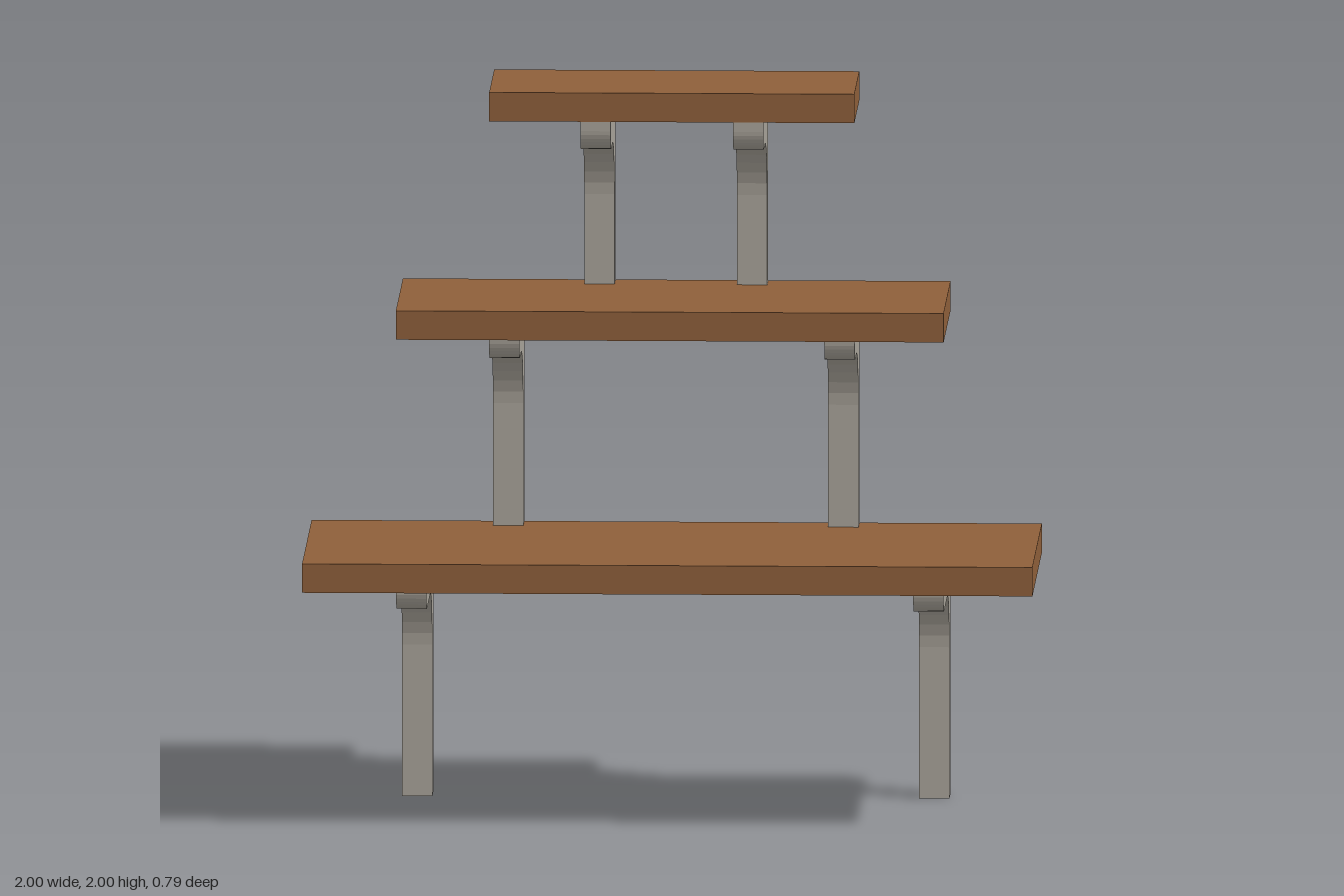
import * as THREE from 'three';

const BACK = -0.395;      // shared back plane of shelves and legs
const THICK = 0.08;       // shelf thickness
const LEG = 0.083;        // leg width and depth

// Upright with a forward arm: concave fillet at the knee, rounded tip
function bracketGeometry(bottom, top, tip) {
  const knee = 0.168, nose = 0.057;
  const front = BACK + LEG;
  const under = top - 0.083;
  const s = new THREE.Shape();
  s.moveTo(BACK, bottom);
  s.lineTo(front, bottom);
  s.lineTo(front, under - knee);
  s.absarc(front + knee, under - knee, knee, Math.PI, Math.PI / 2, true);
  s.lineTo(tip - nose, under);
  s.absarc(tip - nose, under + nose, nose, -Math.PI / 2, 0, false);
  s.lineTo(tip, top);
  s.lineTo(BACK, top);
  s.closePath();
  const g = new THREE.ExtrudeGeometry(s, { depth: LEG, bevelEnabled: false, curveSegments: 4 });
  g.translate(0, 0, -LEG / 2);
  g.rotateY(-Math.PI / 2);
  return g;
}

export function createModel() {
  const group = new THREE.Group();
  const wood = new THREE.MeshStandardMaterial({ color: 0x8e5f3a, flatShading: true });
  const metal = new THREE.MeshStandardMaterial({ color: 0xa8a399, flatShading: true });

  // One entry per tier: shelf half width, front edge, top height, and its legs
  const tiers = [
    { name: 'lower', half: 1.0, front: 0.395, top: 0.75, foot: 0, legX: 0.708, tip: 0.187 },
    { name: 'middle', half: 0.75, front: 0.187, top: 1.42, foot: 0.75, legX: 0.459, tip: 0.018 },
    { name: 'upper', half: 0.5, front: 0.018, top: 2.0, foot: 1.42, legX: 0.209, tip: 0.018 },
  ];

  for (const t of tiers) {
    const shelf = new THREE.Mesh(new THREE.BoxGeometry(t.half * 2, THICK, t.front - BACK), wood);
    shelf.name = t.name + 'Shelf';
    shelf.position.set(0, t.top - THICK / 2, (t.front + BACK) / 2);
    group.add(shelf);

    // Mirrored pair of bracket legs
    const geometry = bracketGeometry(t.foot, t.top - THICK, t.tip);
    for (const side of [1, -1]) {
      const leg = new THREE.Mesh(geometry, metal);
      leg.name = t.name + (side > 0 ? 'LeftLeg' : 'RightLeg');
      leg.position.x = side * t.legX;
      group.add(leg);
    }
  }
  return group;
}
